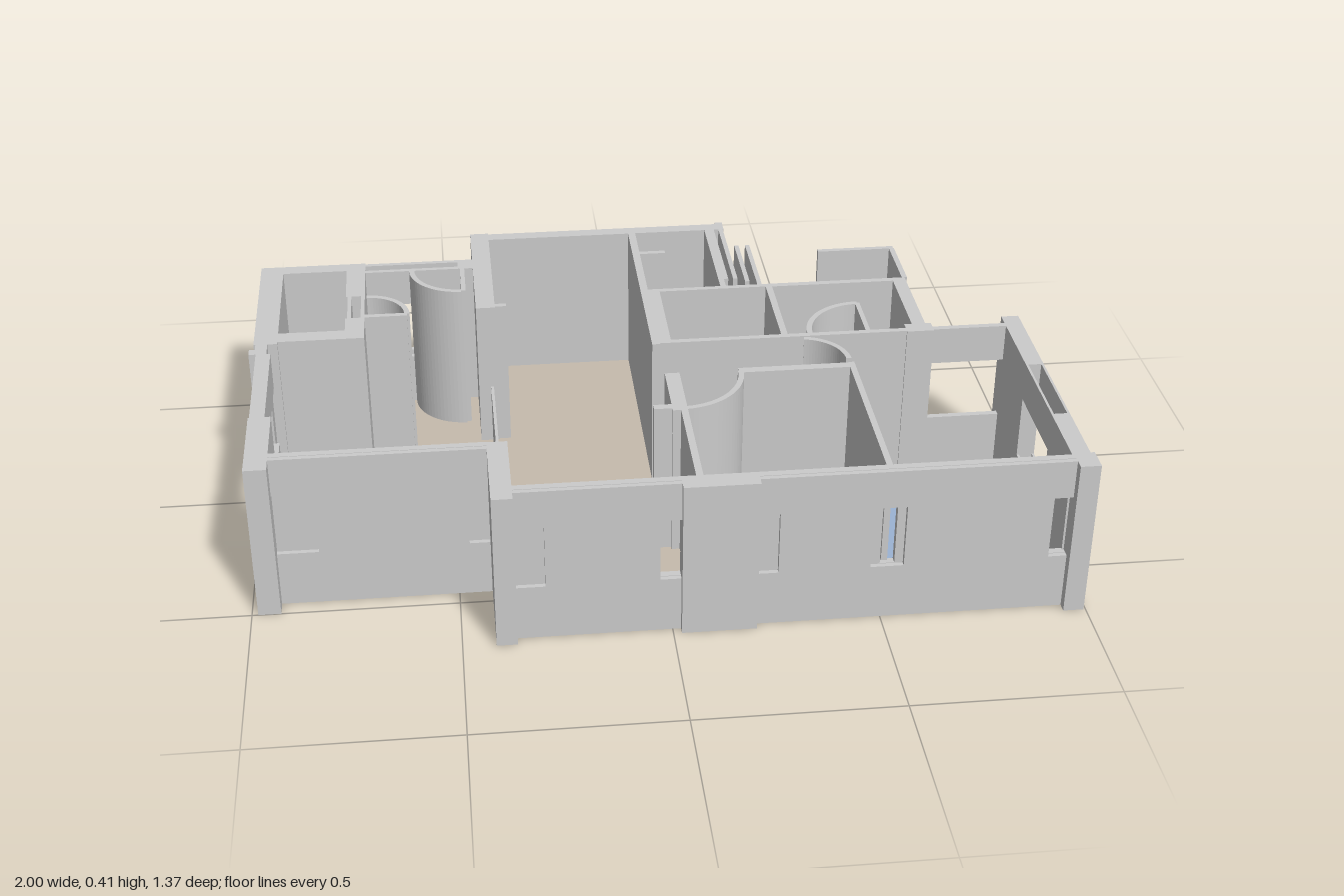
import * as THREE from 'three';

const H = 0.41, SILL = 0.145, HEAD = 0.31;

export function createModel() {
  const model = new THREE.Group();
  const grey = new THREE.MeshStandardMaterial({ color: 0xcccccc, flatShading: true });

  function box(parent, name, [x0, x1, z0, z1], y0, y1, mat = grey) {
    const m = new THREE.Mesh(new THREE.BoxGeometry(x1 - x0, y1 - y0, z1 - z0), mat);
    m.position.set((x0 + x1) / 2, (y0 + y1) / 2, (z0 + z1) / 2);
    m.name = name;
    parent.add(m);
  }
  function group(name) {
    const g = new THREE.Group();
    g.name = name;
    model.add(g);
    return g;
  }
  // Full-height walls, each [x0, x1, z0, z1]
  function walls(name, list) {
    const g = group(name);
    list.forEach(r => box(g, 'wall', r, 0, H));
  }
  // Sill below and lintel above an opening
  function openings(name, list) {
    const g = group(name);
    list.forEach(r => {
      box(g, 'sill', r, 0, SILL);
      box(g, 'lintel', r, HEAD, H);
    });
  }
  // Wall along x, split by openings [x0, x1]
  function slottedWall(name, x0, x1, z0, z1, slots) {
    const solid = [];
    let x = x0;
    slots.forEach(([a, b]) => {
      if (a > x) solid.push([x, a, z0, z1]);
      x = b;
    });
    if (x < x1) solid.push([x, x1, z0, z1]);
    walls(name, solid);
    openings(name + 'Openings', slots.map(([a, b]) => [a, b, z0, z1]));
  }

  // Floors
  const floors = group('floors');
  const floor = (name, color, list) => {
    const mat = new THREE.MeshStandardMaterial({ color });
    list.forEach(r => box(floors, name, r, 0, 0.004, mat));
  };
  floor('mainFloor', 0xc6bbad, [
    [-0.95, -0.75, -0.5, -0.13], [-0.71, -0.4, -0.475, -0.13], [-0.95, -0.4, -0.13, 0.44],
    [-0.4, 0.04, -0.65, 0.64], [0.04, 0.71, -0.29, -0.01], [0.04, 0.41, -0.01, 0.16],
    [0.04, 0.505, 0.16, 0.64]]);
  floor('bathroomFloor', 0xaeb3a6, [[0.04, 0.24, -0.64, -0.29]]);
  floor('balconyFloor', 0x90c4c0, [[0.355, 0.735, -0.485, -0.29]]);
  floor('bedroomFloor', 0x9cb3d4, [[0.505, 0.95, -0.01, 0.64], [0.41, 0.505, -0.01, 0.03],
    [0.47, 0.505, 0.03, 0.1]]);

  // Outer walls, left to right
  walls('backLeftRoom', [
    [-0.99, -0.93, -0.53, -0.1], [-0.93, -0.71, -0.53, -0.49], [-0.76, -0.71, -0.49, -0.34],
    [-0.755, -0.745, -0.34, -0.22], [-0.72, -0.71, -0.34, -0.22],
    [-0.76, -0.71, -0.22, -0.12], [-0.99, -0.71, -0.155, -0.11]]);
  walls('leftSide', [
    [-1, -0.975, -0.075, -0.05], [-0.985, -0.955, -0.1, -0.05], [-0.985, -0.93, 0.26, 0.5]]);
  openings('leftWindow', [[-0.982, -0.945, -0.05, 0.26]]);
  walls('backBlock', [
    [-0.42, -0.37, -0.68, -0.24], [-0.37, 0.29, -0.675, -0.64], [0.27, 0.29, -0.685, -0.65],
    [-0.37, -0.34, -0.26, -0.245], [0.02, 0.04, -0.64, 0],
    [0.235, 0.25, -0.64, -0.29], [0.04, 0.37, -0.3, -0.285], [0.04, 0.11, -0.525, -0.51]]);
  walls('rightSide', [
    [0.94, 0.985, -0.055, 0.2], [0.94, 0.985, 0.44, 0.63], [0.7, 0.735, -0.295, -0.02]]);
  openings('rightWindow', [[0.94, 0.946, 0.2, 0.44], [0.979, 0.985, 0.2, 0.44]]);

  // Front: columns, recessed outer skin and inner skin
  walls('frontColumns', [
    [-0.42, -0.37, 0.43, 0.68], [0.02, 0.2, 0.63, 0.675], [0.945, 0.995, 0.62, 0.68]]);
  slottedWall('frontOuter', -0.37, 0.945, 0.644, 0.656,
    [[-0.37, -0.3], [-0.03, 0.02], [0.2, 0.25], [0.47, 0.55], [0.9, 0.945]]);
  slottedWall('frontInner', -0.37, 0.945, 0.624, 0.642,
    [[-0.03, 0.02], [0.495, 0.53], [0.9, 0.945]]);
  slottedWall('frontLeftOuter', -0.93, -0.42, 0.447, 0.459, [[-0.93, -0.83], [-0.47, -0.42]]);
  walls('frontLeftInner', [[-0.93, -0.42, 0.428, 0.445]]);

  // Back of the bedroom
  slottedWall('bedroomBack', 0.02, 0.94, -0.02, -0.004, [[0.75, 0.94]]);
  walls('bedroomBackPier', [[0.68, 0.75, -0.04, 0]]);

  // Balcony and window bands with open middles
  openings('balconyRails', [[0.53, 0.74, -0.488, -0.474], [0.728, 0.742, -0.474, -0.3]]);
  openings('backRightBands', [
    [0.25, 0.262, -0.66, -0.34], [0.275, 0.287, -0.64, -0.34], [0.305, 0.317, -0.535, -0.32],
    [0.335, 0.347, -0.535, -0.29]]);
  openings('bayWindow', [
    [-0.71, -0.42, -0.525, -0.512], [-0.71, -0.42, -0.486, -0.473]]);
  walls('bayPosts', [[-0.715, -0.645, -0.486, -0.473], [-0.46, -0.42, -0.525, -0.473]]);

  // Partitions
  walls('partitions', [
    [0.04, 0.07, -0.285, -0.02], [0.355, 0.372, -0.3, -0.005], [0.37, 0.735, -0.3, -0.283],
    [0.055, 0.072, 0.15, 0.63], [0.035, 0.055, 0.15, 0.33], [0.5, 0.515, 0.14, 0.63],
    [0.22, 0.515, 0.142, 0.165], [-0.397, -0.39, 0.17, 0.43], [-0.01, 0.055, 0.3, 0.32]]);
  walls('doorLeaves', [
    [0.575, 0.587, -0.17, -0.02], [-0.455, -0.443, -0.475, -0.345],
    [-0.71, -0.6, -0.235, -0.22]]);

  // Curved door-swing walls: centre x, z, radius, start and end angle (from +x toward +z)
  const swings = group('doorSwings');
  [[0.06, 0.155, 0.165, 0, 90], [0.39, 0.12, 0.115, -80, 0], [0.58, -0.02, 0.15, 180, 270],
    [-0.455, -0.475, 0.13, 90, 180], [-0.705, -0.23, 0.105, -90, 0]]
    .forEach(([cx, cz, r, a, b]) => {
      const s = new THREE.Shape(), t = 0.007;
      const a0 = THREE.MathUtils.degToRad(a), a1 = THREE.MathUtils.degToRad(b);
      s.absarc(0, 0, r + t, a0, a1, false);
      s.absarc(0, 0, r - t, a1, a0, true);
      s.closePath();
      const geo = new THREE.ExtrudeGeometry(s, { depth: H, bevelEnabled: false, curveSegments: 10 });
      geo.rotateX(Math.PI / 2); // plan y becomes z, wall hangs down from the top
      const m = new THREE.Mesh(geo, grey);
      m.position.set(cx, H, cz);
      m.name = 'doorSwing';
      swings.add(m);
    });

  return model;
}
